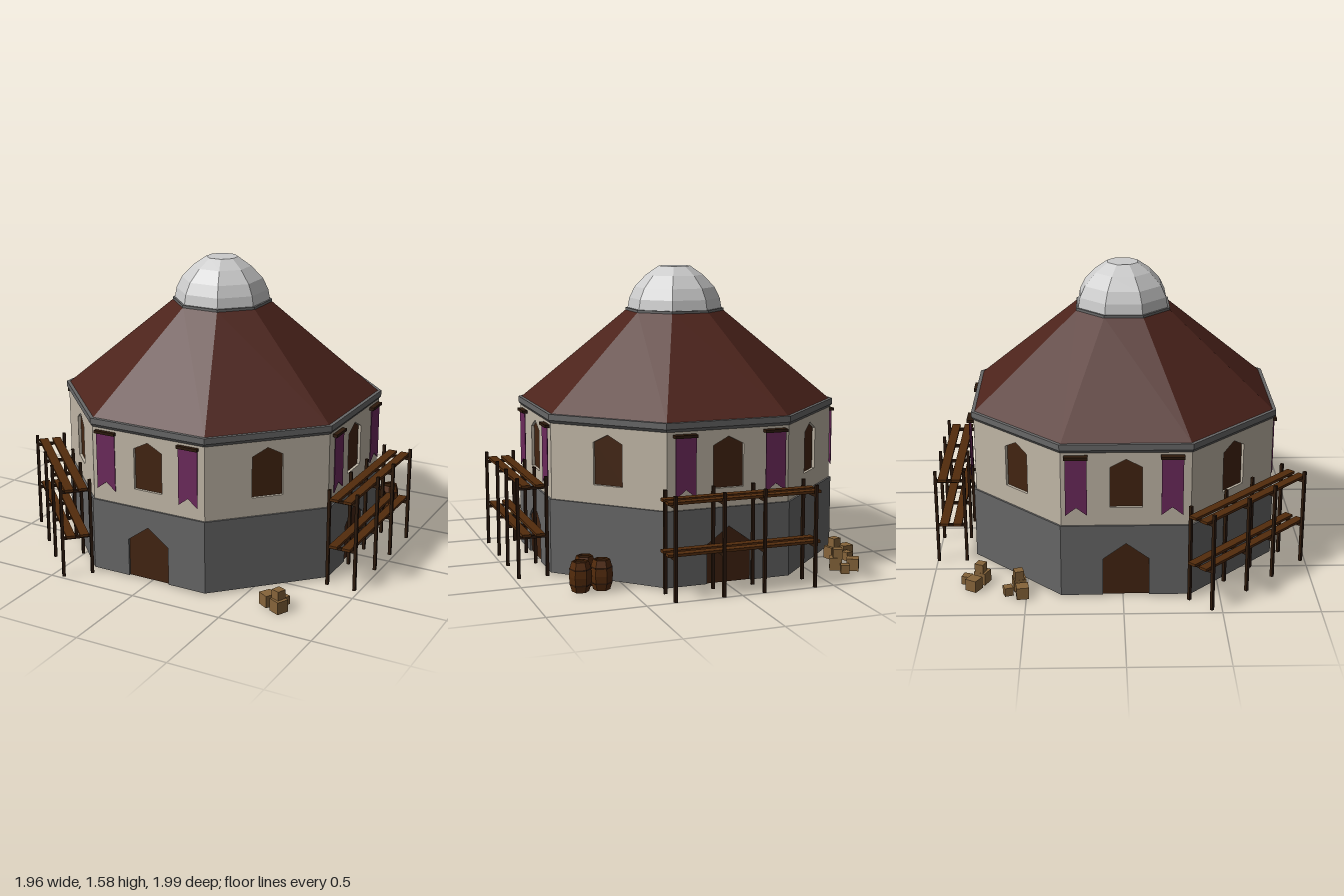
import * as THREE from 'three';

const mat = (color, double = false) => new THREE.MeshStandardMaterial({
  color, flatShading: true, side: double ? THREE.DoubleSide : THREE.FrontSide });
const M = {
  dome: mat(0xcccccc, true), trim: mat(0x686868, true), stone: mat(0x666666), plaster: mat(0xc0b6a6),
  roof: mat(0x4c231b, true), shutter: mat(0x422411), banner: mat(0x6c2a5c, true), plank: mat(0x522b0c),
  pole: mat(0x2c190b), barrel: mat(0x522a0b, true), lid: mat(0x2e1808), crate: mat(0x86643a),
};
const V = (x, y) => new THREE.Vector2(x, y);

function add(parent, name, geometry, material, x = 0, y = 0, z = 0) {
  const mesh = new THREE.Mesh(geometry, material);
  mesh.name = name;
  mesh.position.set(x, y, z);
  parent.add(mesh);
  return mesh;
}
function group(parent, name, x = 0, y = 0, z = 0, turn = 0) {
  const g = new THREE.Group();
  g.name = name;
  g.position.set(x, y, z);
  g.rotation.y = turn;
  parent.add(g);
  return g;
}
const box = (parent, name, material, w, h, d, x, y, z) =>
  add(parent, name, new THREE.BoxGeometry(w, h, d), material, x, y, z);

// Eight-sided solid with flats facing the axes; the profile lists apothem and height
const octagon = (profile) => new THREE.LatheGeometry(
  profile.map(([a, y]) => V(a / Math.cos(Math.PI / 8), y)), 8, Math.PI / 8);

const slab = (shape, depth) => new THREE.ExtrudeGeometry(shape, { depth, bevelEnabled: false });

// Pointed opening: half width, sill, shoulder, apex
const arch = (w, y0, y1, y2) => [V(-w, y0), V(-w, y1), V(0, y2), V(w, y1), V(w, y0)];

function buildWalls(parent) {
  const windowPts = arch(0.082, 0.5, 0.72, 0.763);
  const doorPts = arch(0.119, 0.01, 0.215, 0.302);
  const lowA = 0.807, highA = 0.797, thick = 0.02;
  const t = Math.tan(Math.PI / 8), low = lowA * t, high = highA * t;
  for (let i = 0; i < 8; i++) {
    const side = group(parent, 'wallSide', 0, 0, 0, i * Math.PI / 4);
    const hasDoor = i % 2 === 0;
    const lower = new THREE.Shape([V(-low, 0.01), ...(hasDoor ? doorPts : []),
      V(low, 0.01), V(low, 0.402), V(-low, 0.402)]);
    add(side, 'stoneWall', slab(lower, thick), M.stone, 0, 0, lowA - thick);

    const upper = new THREE.Shape([V(-high, 0.4), V(high, 0.4), V(high, 0.815), V(-high, 0.815)]);
    upper.holes.push(new THREE.Path(windowPts));
    add(side, 'plasterWall', slab(upper, thick), M.plaster, 0, 0, highA - thick);

    // recessed panels filling the openings
    add(side, 'window', slab(new THREE.Shape(windowPts), 0.008), M.shutter, 0, 0, highA - 0.023);
    if (hasDoor) add(side, 'door', slab(new THREE.Shape(doorPts), 0.012), M.shutter, 0, 0, lowA - 0.023);
  }
}

// Pairs of swallow-tailed banners on the four main sides
function buildBanners(parent) {
  const cloth = new THREE.Shape([V(-0.055, 0.78), V(-0.055, 0.467), V(0, 0.51), V(0.055, 0.467), V(0.055, 0.78)]);
  for (let i = 0; i < 4; i++) {
    const side = group(parent, 'bannerPair', 0, 0, 0, i * Math.PI / 2);
    for (const s of [-1, 1]) {
      add(side, 'banner', slab(cloth, 0.004), M.banner, s * 0.243, 0, 0.812);
      box(side, 'bannerRod', M.pole, 0.12, 0.015, 0.04, s * 0.243, 0.78, 0.808);
    }
  }
}

function buildRoof(parent) {
  add(parent, 'cornice', octagon([[0.775, 0.8], [0.797, 0.8], [0.808, 0.816], [0.808, 0.847],
    [0.788, 0.847], [0.775, 0.8]]), M.trim);
  add(parent, 'roof', octagon([[0.792, 0.845], [0.247, 1.335]]), M.roof);
  add(parent, 'domeRing', octagon([[0.23, 1.33], [0.25, 1.33], [0.25, 1.346], [0.23, 1.346]]), M.trim);
  add(parent, 'dome', octagon([[0.24, 1.34], [0.23, 1.4], [0.203, 1.46], [0.145, 1.526],
    [0.08, 1.575], [0, 1.575]]), M.dome);
}

// Two-level scaffold; its outer side faces local +z
function buildScaffold(parent, x, z, turn, flip = 1) {
  const g = group(parent, 'scaffold', x, 0, z, turn);
  for (const p of [-0.372, -0.094, 0.122, 0.376]) {
    for (const s of [-1, 1]) box(g, 'scaffoldPole', M.pole, 0.016, 0.528, 0.016, p * flip, 0.264, s * 0.076);
    for (const y of [0.215, 0.473]) box(g, 'crossBar', M.pole, 0.015, 0.015, 0.16, p * flip, y, 0);
  }
  for (const y of [0.229, 0.487])
    for (const s of [-1, 1]) box(g, 'plank', M.plank, 0.815, 0.014, 0.047, 0, y, s * 0.036);
}

function buildBarrel(parent, x, z, turn) {
  const g = group(parent, 'barrel', x, 0.005, z, turn);
  const profile = [[0, 0], [0.043, 0], [0.053, 0.035], [0.057, 0.077], [0.053, 0.12], [0.043, 0.155],
    [0.036, 0.155], [0.036, 0.145]].map(([r, y]) => V(r, y));
  add(g, 'barrelBody', new THREE.LatheGeometry(profile, 6), M.barrel);
  add(g, 'barrelLid', new THREE.CylinderGeometry(0.037, 0.037, 0.004, 6), M.lid, 0, 0.145, 0);
  for (const y of [0.038, 0.117])
    add(g, 'barrelHoop', new THREE.CylinderGeometry(0.0555, 0.0555, 0.008, 6, 1, true), M.lid, 0, y, 0);
}

function buildCrates(parent, x, z, turn) {
  const g = group(parent, 'crateStack', x, 0, z, turn);
  const crate = (s, cx, y, cz, r) => {
    box(g, 'crate', M.crate, s, s, s, cx, y + s / 2, cz).rotation.y = r;
  };
  crate(0.066, 0, 0, 0, 0);
  crate(0.064, -0.089, 0, 0, -0.08);
  crate(0.046, -0.046, 0, -0.067, 0.1);
  crate(0.048, -0.008, 0.066, -0.004, 0.06);
}

export function createModel() {
  const model = new THREE.Group();
  model.name = 'octagonalHall';

  const hall = group(model, 'hall', -0.01, 0, 0.015);
  buildWalls(hall);
  buildRoof(hall);
  buildBanners(group(model, 'banners', -0.015, 0, 0.005));

  buildScaffold(model, -0.026, -0.918, Math.PI, -1);
  buildScaffold(model, 0.897, 0.038, Math.PI / 2);
  buildScaffold(model, -0.65, 0.657, -Math.PI / 4);

  [[0.628, -0.672, 0.2], [0.738, -0.672, 0.3], [0.69, -0.583, 0.1]].forEach((b) => buildBarrel(model, ...b));
  buildCrates(model, 0.73, 0.797, -0.45);
  buildCrates(model, -0.645, -0.738, -0.45);
  buildCrates(model, -0.725, -0.54, 0.22);
  return model;
}
